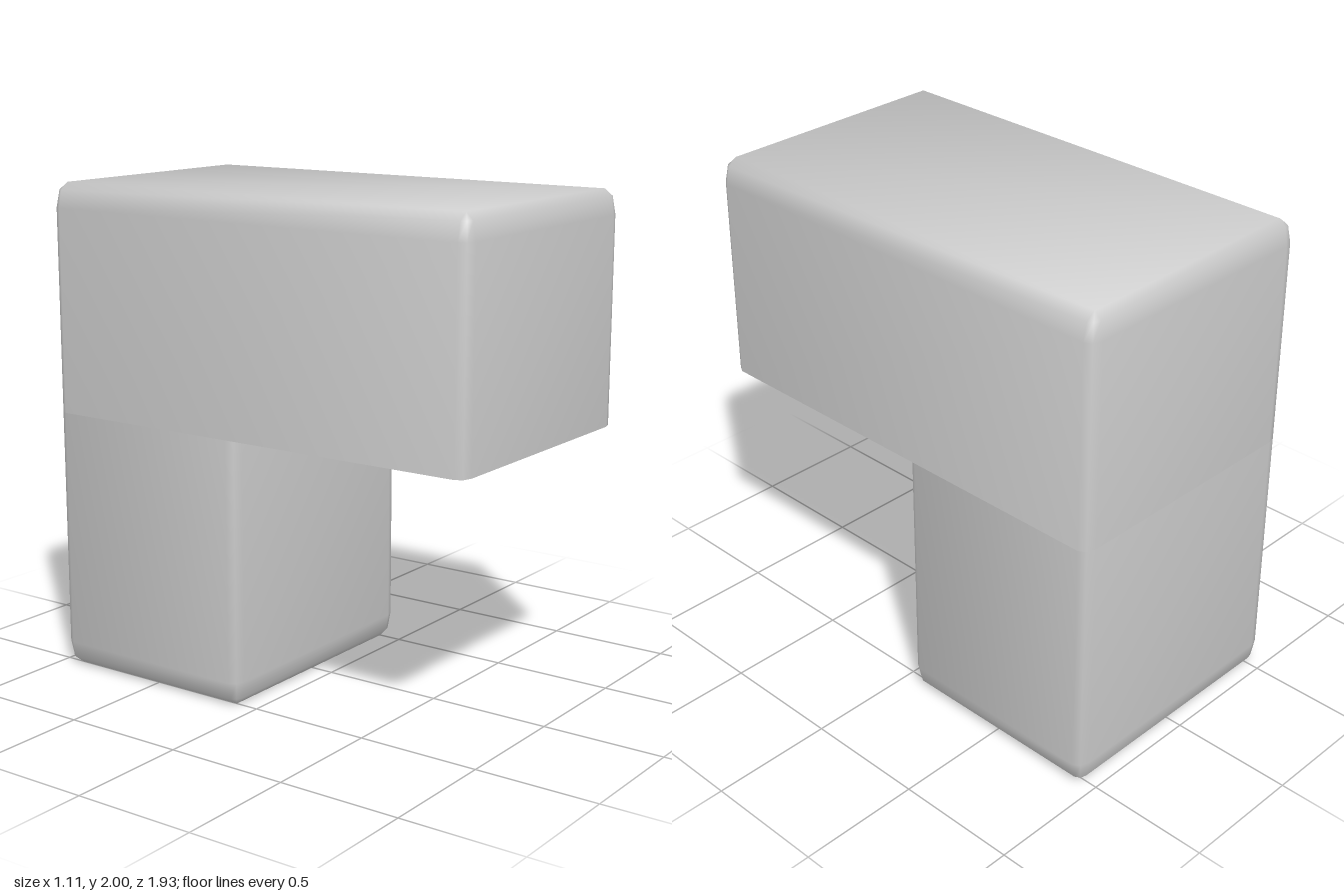
import * as THREE from 'three';
import { toCreasedNormals } from 'three/addons/utils/BufferGeometryUtils.js';

const HALF_WIDTH = 0.553;
const BEVEL = { x: 0.053, y: 0.1, z: 0.04 };
const SEGMENTS = 2;

// Rounded rectangle at height y; s scales the corner radius (1 = full, 0 = sharp inset)
function ring(zBack, zFront, y, s) {
  const points = [];
  const corners = [[1, 1], [1, -1], [-1, -1], [-1, 1]];
  corners.forEach(([sx, sz], c) => {
    const cx = sx * (HALF_WIDTH - BEVEL.x);
    const cz = sz > 0 ? zFront - BEVEL.z : zBack + BEVEL.z;
    for (let i = 0; i <= SEGMENTS; i++) {
      const a = Math.PI / 2 * (c + i / SEGMENTS);
      points.push([cx + Math.sin(a) * BEVEL.x * s, y, cz + Math.cos(a) * BEVEL.z * s]);
    }
  });
  return points;
}

// Block with one bevelled end (yEnd) and one sharp end (ySharp), capped at both
function bevelledBlock(zBack, zFront, ySharp, yEnd) {
  const up = Math.sign(yEnd - ySharp);
  const rings = [ring(zBack, zFront, ySharp, 1)];
  for (let i = 0; i <= SEGMENTS; i++) {
    const a = Math.PI / 2 * i / SEGMENTS;
    rings.push(ring(zBack, zFront, yEnd - up * BEVEL.y * (1 - Math.sin(a)), i === SEGMENTS ? 0 : Math.cos(a)));
  }
  if (up < 0) rings.reverse();

  const positions = rings.flat(2);
  const index = [];
  const n = rings[0].length;
  const addTriangle = (...ids) => {
    const [a, b, c] = ids.map(i => new THREE.Vector3().fromArray(positions, i * 3));
    if (b.sub(a).cross(c.sub(a)).length() > 1e-7) index.push(...ids);
  };
  // Side walls and bevels
  for (let r = 0; r < rings.length - 1; r++) {
    for (let i = 0; i < n; i++) {
      const j = (i + 1) % n;
      const a = r * n + i, b = r * n + j;
      addTriangle(a, b, b + n);
      addTriangle(a, b + n, a + n);
    }
  }
  // Flat ends
  const top = (rings.length - 1) * n;
  for (let i = 1; i < n - 1; i++) {
    addTriangle(0, i + 1, i);
    addTriangle(top, top + i, top + i + 1);
  }
  const geometry = new THREE.BufferGeometry();
  geometry.setAttribute('position', new THREE.Float32BufferAttribute(positions, 3));
  geometry.setIndex(index);
  return toCreasedNormals(geometry, Math.PI / 3);
}

export function createModel() {
  const group = new THREE.Group();
  group.name = 'steppedBlock';
  const material = new THREE.MeshStandardMaterial({ color: 0xcccccc });
  const add = (name, ...dims) => {
    const mesh = new THREE.Mesh(bevelledBlock(...dims), material);
    mesh.name = name;
    group.add(mesh);
  };
  // Long overhanging upper block, sharp along its underside
  add('upperBlock', -0.963, 0.963, 1.075, 2);
  // Rear leg, bevelled around its foot
  add('lowerLeg', -0.963, -0.058, 1.075, 0);
  return group;
}
